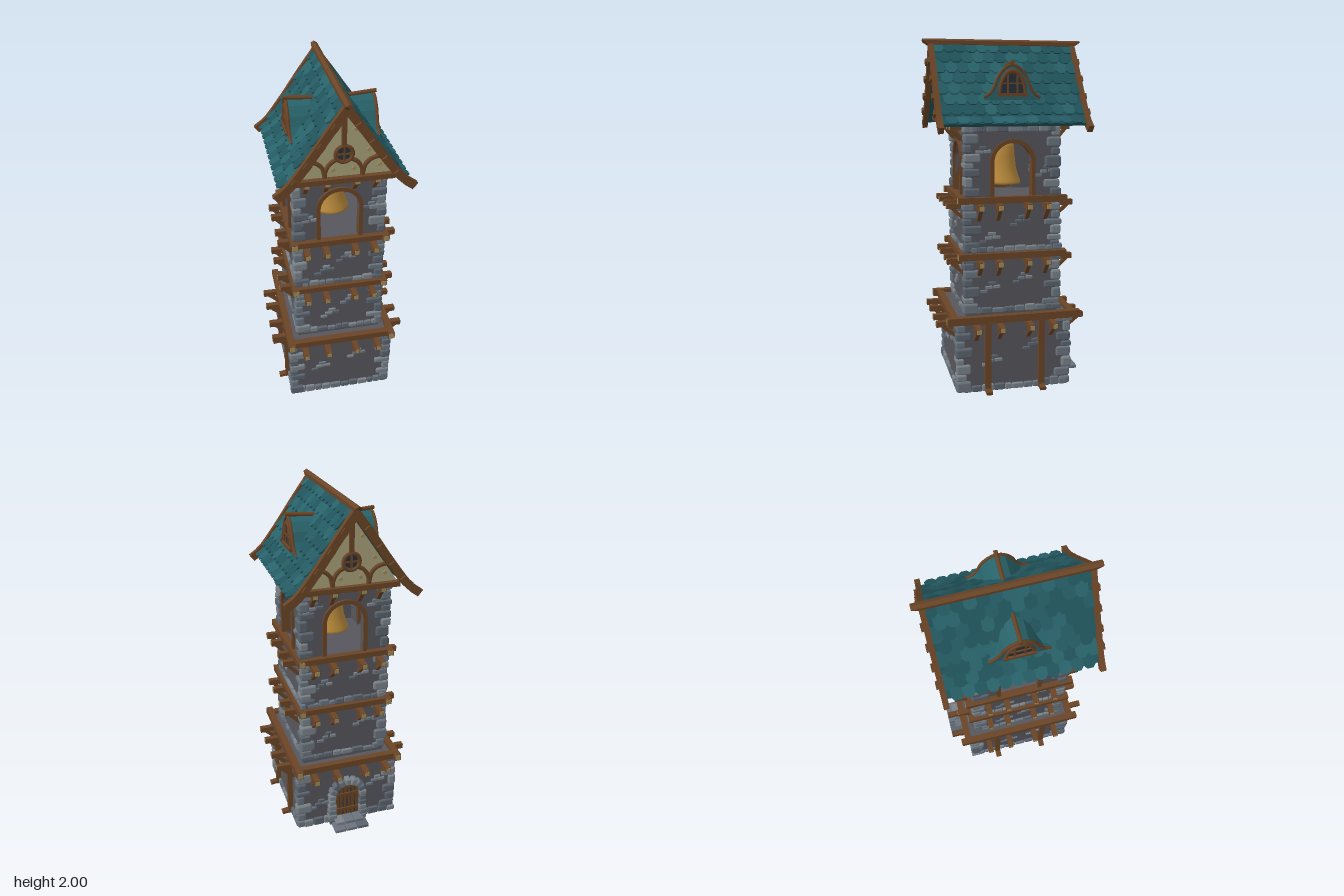
import * as THREE from 'three';
import { mergeGeometries } from 'three/addons/utils/BufferGeometryUtils.js';
import { RoundedBoxGeometry } from 'three/addons/geometries/RoundedBoxGeometry.js';

const mat = (color, extra = {}) => {
  const m = new THREE.MeshStandardMaterial(extra);
  m.color.set(color);
  return m;
};
const WALL = mat(0x56565c), WOOD = mat(0x6a4426), TAN = mat(0xa08a58), PLASTER = mat(0xaaa27a);
const GLASS = mat(0x24303a), GOLD = mat(0xb98a3c, { side: THREE.DoubleSide });
const TEALS = [mat(0x245a62), mat(0x28626a), mat(0x20535b)];
const STONES = [mat(0x6a747e), mat(0x5a636d), mat(0x7a838a)];

let seed = 7;
const rnd = (a = 0, b = 1) => {
  seed = (seed * 16807) % 2147483647;
  return a + (b - a) * seed / 2147483647;
};

function add(parent, name, geo, material, x = 0, y = 0, z = 0) {
  const m = new THREE.Mesh(geo, material);
  m.name = name;
  m.position.set(x, y, z);
  parent.add(m);
  return m;
}
const box = (p, name, w, h, d, x, y, z, m = WOOD) => add(p, name, new THREE.BoxGeometry(w, h, d), m, x, y, z);
const tube = (p, name, pts, r, z) => add(p, name, new THREE.TubeGeometry(
  new THREE.CatmullRomCurve3(pts.map(([x, y]) => new THREE.Vector3(x, y, z))), 20, r, 6), WOOD);
const extrude = (pts, depth) => new THREE.ExtrudeGeometry(
  new THREE.Shape(pts.map(([x, y]) => new THREE.Vector2(x, y))), { depth, bevelEnabled: false });

// Rounded stones, sorted by shade; k is the quarter turn of the wall they sit on
const shades = [[], [], []];
function stone(w, h, d, x, y, z, k = 0, rz = 0) {
  const g = new RoundedBoxGeometry(w, h, d, 1, Math.min(w, h, d) * 0.25);
  g.rotateZ(rz).translate(x, y, z).rotateY(k * Math.PI / 2);
  shades[Math.floor(rnd(0, 2.999))].push(g);
}
function stoneRow(w, y, d, k, h) {
  for (let x = -w + 0.03; x < w - 0.03;) {
    const l = rnd(0.035, 0.07), hh = h * rnd(0.7, 1.15);
    stone(l, hh, 0.03, x + l / 2, y + hh / 2, d, k);
    x += l + 0.002;
  }
}
function corners(hx, hz, y0, y1) {
  for (const sx of [-1, 1]) for (const sz of [-1, 1]) {
    let y = y0, i = sx === sz ? 0 : 1;
    while (y < y1 - 0.012) {
      const h = Math.min(rnd(0.032, 0.07), y1 - y), out = rnd(0.01, 0.02);
      const lx = i % 2 ? rnd(0.08, 0.1) : rnd(0.045, 0.065), lz = i % 2 ? rnd(0.045, 0.065) : rnd(0.08, 0.11);
      stone(lx, h - 0.002, lz, sx * (hx + out - lx / 2), y + h / 2, sz * (hz + out - lz / 2));
      y += h;
      i++;
    }
  }
}
function brickPatch(x, y, d, k) {
  for (const [bx, by] of [[0, 0], [0.046, 0.003], [0.02, 0.024], [-0.03, -0.022]])
    stone(rnd(0.035, 0.046), 0.02, 0.02, x + bx, y + by, d, k);
}

// Four faces of a storey: fn(faceGroup, wallDistance, halfWidth, quarterTurn)
function faces(root, name, hx, hz, fn) {
  for (let k = 0; k < 4; k++) {
    const f = new THREE.Group();
    f.name = name;
    f.rotation.y = k * Math.PI / 2;
    root.add(f);
    fn(f, k % 2 ? hx : hz, k % 2 ? hz : hx, k);
  }
}
// Projecting joist with pale end and diagonal brace
function joist(f, x, y, wall, reach) {
  box(f, 'joist', 0.032, 0.032, reach - wall + 0.02, x, y, (reach + wall - 0.02) / 2);
  box(f, 'joistEnd', 0.026, 0.026, 0.004, x, y, reach, TAN);
  const dz = (reach - wall) * 0.75, dy = 0.07;
  box(f, 'brace', 0.022, Math.hypot(dz, dy), 0.018, x, y - dy / 2 - 0.008, wall + dz / 2).rotation.x = Math.atan2(dz, dy);
}

function buildStoreys(root) {
  const upper = { hx: 0.25, hz: 0.27, bx: 0.26, bz: 0.28, lz: 0.315, rx: 0.34, rz: 0.37, bh: 0.036, offs: [-0.195, -0.085, 0.08, 0.19] };
  const tiers = [
    { y0: 0, y1: 0.43, hx: 0.3, hz: 0.325, bx: 0.305, bz: 0.345, lz: 0.39, rx: 0.405, rz: 0.44, bh: 0.042, offs: [-0.225, -0.09, 0.08, 0.215] },
    { ...upper, y0: 0.43, y1: 0.787 },
    { ...upper, y0: 0.787, y1: 1.107 },
  ];
  tiers.forEach((t, i) => {
    const h = t.y1 - t.y0, ym = (t.y0 + t.y1) / 2;
    if (i) box(root, 'storeyWall', t.hx * 2, h, t.hz * 2, 0, ym, 0, WALL);
    else box(root, 'baseCeiling', t.hx * 2, 0.03, t.hz * 2, 0, t.y1 - 0.015, 0, WALL);
    const bottom = t.y0 + (i ? 0.02 : 0);
    corners(t.hx, t.hz, bottom, t.y1 - t.bh / 2);
    faces(root, 'storeyFace', t.hx, t.hz, (f, d, w, k) => {
      if (!i) box(f, 'baseWall', w * 2, h, 0.03, 0, ym, d - 0.015, WALL);
      stoneRow(w, bottom, d, k, i ? 0.035 : 0.045);
      if (i || k !== 2) {
        brickPatch(rnd(-0.14, -0.04), ym + rnd(-0.06, 0), d, k);
        brickPatch(rnd(0.03, 0.12), ym + rnd(0.02, 0.06), d, k);
      } else for (const s of [-1, 1]) brickPatch(s * 0.18, 0.2 + s * 0.05, d, k);
      for (const x of t.offs) joist(f, k > 1 ? -x : x, t.y1 - t.bh / 2 - 0.017, d, k % 2 ? t.rx : t.rz);
    });
    // Ring of beams on top of the storey
    for (const s of [-1, 1]) {
      box(root, 'sideBeam', 0.04, t.bh, t.lz * 2, s * t.bx, t.y1, 0);
      box(root, 'crossBeam', t.bx * 2, t.bh * 0.9, 0.04, 0, t.y1, s * t.bz);
      for (const e of [-1, 1]) box(root, 'beamEnd', 0.033, t.bh * 0.85, 0.004, s * t.bx, t.y1, e * t.lz, TAN);
    }
  });
  // Posts with splayed feet along both sides of the base
  for (const s of [-1, 1]) for (const z of [-0.158, 0.158]) {
    box(root, 'sidePost', 0.03, 0.41, 0.035, s * 0.312, 0.205, z);
    box(root, 'postFoot', 0.075, 0.018, 0.035, s * 0.33, 0.012, z).rotation.z = -s * 0.15;
  }
}

function buildDoor(root) {
  const g = new THREE.Group();
  g.name = 'door';
  g.rotation.y = Math.PI;
  root.add(g);
  const s = new THREE.Shape();
  s.moveTo(-0.075, 0.04).lineTo(0.075, 0.04).lineTo(0.075, 0.2).absarc(0, 0.2, 0.075, 0, Math.PI).lineTo(-0.075, 0.04);
  add(g, 'doorLeaf', new THREE.ExtrudeGeometry(s, { depth: 0.02, bevelEnabled: false }), WOOD, 0, 0, 0.32);
  for (const x of [-0.05, -0.025, 0, 0.025, 0.05]) box(g, 'plankGap', 0.004, 0.19, 0.004, x, 0.145, 0.34, GLASS);
  for (const y of [0.09, 0.2]) box(g, 'doorStrap', 0.14, 0.018, 0.012, 0, y, 0.343);
  for (let i = 0; i <= 8; i++) {
    const a = Math.PI * i / 8;
    stone(0.045, 0.034, 0.055, Math.cos(a) * 0.097, 0.2 + Math.sin(a) * 0.097, 0.342, 2, a);
  }
  for (const x of [-0.097, 0.097]) for (let y = 0.02; y < 0.19; y += 0.036) stone(rnd(0.04, 0.055), 0.034, 0.055, x, y, 0.342, 2);
  for (const x of [-0.06, 0, 0.06]) {
    stone(0.07, 0.022, 0.13, x * 1.2, 0.011, 0.385, 2);
    stone(0.058, 0.022, 0.08, x, 0.033, 0.37, 2);
  }
}

function buildBelfry(root) {
  const hx = 0.25, hz = 0.265, y0 = 1.1, y1 = 1.53, r = 0.108, spring = 1.315;
  corners(hx, hz, 1.125, y1);
  faces(root, 'belfryFace', hx, hz, (f, d, w, k) => {
    const s = new THREE.Shape([[-w, y0], [w, y0], [w, y1], [-w, y1]].map(p => new THREE.Vector2(...p)));
    const hole = new THREE.Path();
    hole.moveTo(-r, y0 + 0.01).lineTo(r, y0 + 0.01).lineTo(r, spring).absarc(0, spring, r, 0, Math.PI).lineTo(-r, y0 + 0.01);
    s.holes.push(hole);
    add(f, 'belfryWall', new THREE.ExtrudeGeometry(s, { depth: 0.04, bevelEnabled: false }), WALL, 0, 0, d - 0.04);
    // Timber arch around the opening
    const arch = new THREE.Shape();
    arch.moveTo(r + 0.022, 1.125).lineTo(r + 0.022, spring).absarc(0, spring, r + 0.022, 0, Math.PI).lineTo(-r - 0.022, 1.125);
    arch.lineTo(-r, 1.125).lineTo(-r, spring).absarc(0, spring, r, Math.PI, 0, true).lineTo(r, 1.125);
    add(f, 'archFrame', new THREE.ExtrudeGeometry(arch, { depth: 0.055, bevelEnabled: false }), WOOD, 0, 0, d - 0.04);
    stoneRow(w, 1.485, d, k, 0.04);
    for (const x of [-0.19, 0.18]) brickPatch(x, rnd(1.2, 1.42), d, k);
    if (k % 2 === 0) for (const x of [-0.19, -0.08, 0.08, 0.19]) joist(f, x, 1.51, d, 0.345);
  });
  box(root, 'belfryCeiling', 0.48, 0.03, 0.5, 0, 1.51, 0, WALL);
  box(root, 'bellBeam', 0.46, 0.04, 0.04, 0, 1.46, 0);
  const profile = [[0, 1.39], [0.045, 1.38], [0.06, 1.28], [0.092, 1.172], [0.106, 1.17], [0.106, 1.185], [0.096, 1.205],
    [0.08, 1.26], [0.072, 1.33], [0.068, 1.39], [0.055, 1.418], [0, 1.425]];
  add(root, 'bell', new THREE.LatheGeometry(profile.map(p => new THREE.Vector2(...p)), 32), GOLD);
  add(root, 'bellHanger', new THREE.CylinderGeometry(0.015, 0.015, 0.05, 8), GOLD, 0, 1.44, 0);
  add(root, 'clapper', new THREE.SphereGeometry(0.022, 12, 8), GOLD, 0, 1.185, 0);
}

function buildGables(root) {
  add(root, 'gableWall', extrude([[-0.28, 1.53], [0.28, 1.53], [0, 1.93]], 0.7), PLASTER, 0, 0, -0.35);
  for (const turn of [0, Math.PI]) {
    const g = new THREE.Group();
    g.name = 'gable';
    g.rotation.y = turn;
    root.add(g);
    box(g, 'tieBeam', 0.54, 0.028, 0.04, 0, 1.545, 0.36);
    box(g, 'kingPost', 0.024, 0.2, 0.03, 0, 1.83, 0.355);
    add(g, 'roundGlass', new THREE.CylinderGeometry(0.045, 0.045, 0.02, 24).rotateX(Math.PI / 2), GLASS, 0, 1.69, 0.35);
    add(g, 'roundFrame', new THREE.TorusGeometry(0.045, 0.011, 6, 24), WOOD, 0, 1.69, 0.362);
    box(g, 'windowBar', 0.09, 0.009, 0.012, 0, 1.69, 0.362);
    box(g, 'windowBar', 0.009, 0.09, 0.012, 0, 1.69, 0.362);
    for (const s of [-1, 1]) {
      tube(g, 'curvedBrace', [[s * 0.1, 1.55], [s * 0.095, 1.6], [s * 0.07, 1.64], [s * 0.035, 1.66]], 0.012, 0.354);
      tube(g, 'curvedBrace', [[s * 0.1, 1.56], [s * 0.115, 1.62], [s * 0.15, 1.65], [s * 0.2, 1.66]], 0.012, 0.354);
      for (const [x, y] of [[0.19, 1.61], [0.13, 1.7], [0.06, 1.82], [0.055, 1.6]])
        box(g, 'peg', 0.018, 0.018, 0.012, s * x, y, 0.352, TAN).rotation.z = 0.6;
    }
  }
}

function buildDormer(side) {
  const g = new THREE.Group();
  g.name = 'dormer';
  g.rotation.y = Math.PI / 2;
  side.add(g);
  const half = [[0.16, 1.675], [0.125, 1.695], [0.1, 1.735], [0.08, 1.785], [0.045, 1.83], [0, 1.852]];
  const curve = [...half, ...half.slice(0, -1).reverse().map(([x, y]) => [-x, y])];
  add(g, 'dormerRoof', extrude([...curve, [-0.16, 1.655], [0.16, 1.655]], 0.2), TEALS[1], 0, 0, 0.04);
  tube(g, 'dormerTrim', curve, 0.009, 0.24);
  add(g, 'dormerRidge', new THREE.CylinderGeometry(0.012, 0.012, 0.17, 6).rotateX(Math.PI / 2), WOOD, 0, 1.858, 0.17).rotation.x = -0.08;
  add(g, 'dormerGlass', new THREE.CircleGeometry(0.07, 20, 0, Math.PI).scale(1, 1.75, 1), GLASS, 0, 1.69, 0.243);
  add(g, 'dormerFrame', new THREE.TorusGeometry(0.072, 0.009, 6, 20, Math.PI).scale(1, 1.75, 1), WOOD, 0, 1.69, 0.244);
  box(g, 'dormerSill', 0.17, 0.018, 0.024, 0, 1.688, 0.244);
  for (const x of [-0.027, 0.027]) box(g, 'dormerBar', 0.008, 0.11, 0.012, x, 1.745, 0.244);
  box(g, 'dormerBar', 0.12, 0.008, 0.012, 0, 1.75, 0.244);
}

function buildRoof(root) {
  const slope = new THREE.SplineCurve([[0, 1.975], [0.1, 1.838], [0.2, 1.695], [0.3, 1.565], [0.372, 1.508]].map(p => new THREE.Vector2(...p)));
  const at = (u, off) => {
    const p = slope.getPointAt(u), t = slope.getTangentAt(u);
    return [p.x - t.y * off, p.y + t.x * off];
  };
  // Strip following the roof curve between two offsets
  const strip = (u1, o0, o1, depth) => {
    const us = Array.from({ length: 13 }, (_, i) => u1 * i / 12);
    return extrude([...us.map(u => at(u, o0)), ...us.reverse().map(u => at(u, o1))], depth);
  };
  const w = 0.0635;
  const tile = extrude([[-w / 2, 0.02], [-w / 4, 0], [w / 4, 0], [w / 2, 0.02], [w / 2, 0.092], [-w / 2, 0.092]], 0.008);
  for (const turn of [0, Math.PI]) {
    const side = new THREE.Group();
    side.name = 'roofSide';
    side.rotation.y = turn;
    root.add(side);
    add(side, 'roofDeck', strip(0.92, -0.022, -0.004, 0.81), TEALS[2], 0, 0, -0.405);
    // Overlapping pointed shingles
    const rows = [[], [], []];
    for (let i = 1; i <= 8; i++) {
      const u = 0.945 * i / 8, t = slope.getTangentAt(u), [x, y] = at(u, 0.006);
      for (let j = 0; j < 13; j++) {
        const z = -0.381 + j * w + (i % 2 ? 0 : w / 2);
        if (z > 0.4) continue;
        const m = new THREE.Matrix4().makeBasis(new THREE.Vector3(0, 0, -1), new THREE.Vector3(-t.x, -t.y, 0), new THREE.Vector3(-t.y, t.x, 0));
        m.setPosition(x, y, z).multiply(new THREE.Matrix4().makeRotationX(-0.12 + rnd(-0.015, 0.015)));
        rows[Math.floor(rnd(0, 2.999))].push(tile.clone().applyMatrix4(m));
      }
    }
    rows.forEach((r, i) => add(side, 'shingles', mergeGeometries(r), TEALS[i]));
    for (const s of [-1, 1]) {
      add(side, 'vergeBoard', strip(1, -0.032, 0.012, 0.03), WOOD, 0, 0, s * 0.416 - 0.015);
      for (const u of [0.2, 0.4, 0.6, 0.78]) box(side, 'vergePeg', 0.032, 0.032, 0.03, ...at(u, -0.012), s * 0.428).rotation.z = -0.95;
    }
    buildDormer(side);
  }
  // Ridge beam, longer along its top edge
  const ridge = new THREE.CylinderGeometry(0.021, 0.021, 0.93, 6, 1).rotateX(Math.PI / 2);
  const p = ridge.attributes.position;
  for (let i = 0; i < p.count; i++) if (p.getY(i) < 0) p.setZ(i, p.getZ(i) * 0.93);
  ridge.computeVertexNormals();
  add(root, 'ridgeBeam', ridge, mat(0x6a4426, { flatShading: true }), 0, 1.979, 0);
}

export function createModel() {
  const root = new THREE.Group();
  root.name = 'bellTower';
  seed = 7;
  shades.forEach(s => { s.length = 0; });
  buildStoreys(root);
  buildDoor(root);
  buildBelfry(root);
  buildGables(root);
  buildRoof(root);
  shades.forEach((s, i) => add(root, 'stones', mergeGeometries(s), STONES[i]));
  return root;
}
